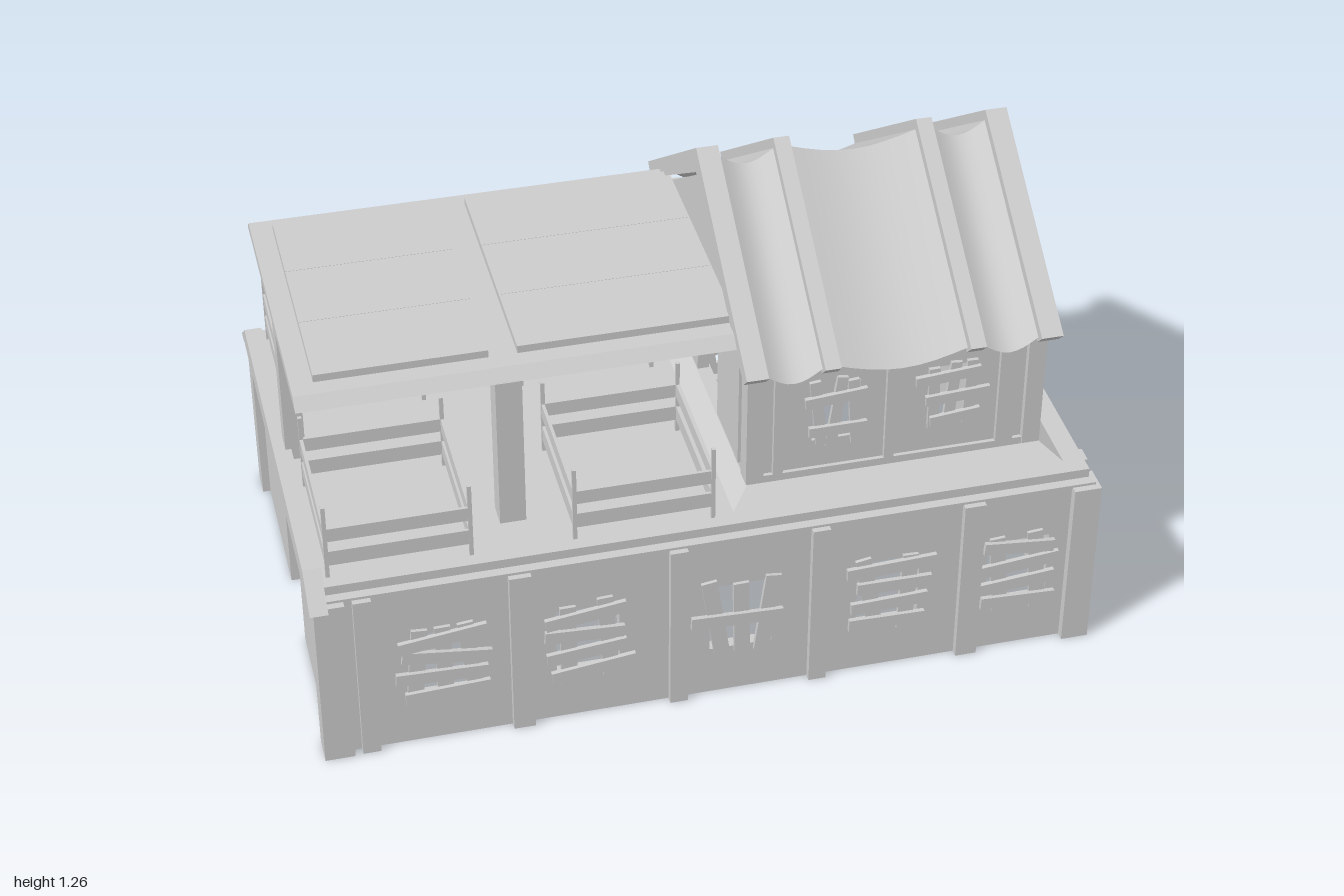
import * as THREE from 'three';
import { toCreasedNormals } from 'three/addons/utils/BufferGeometryUtils.js';

const mat = new THREE.MeshStandardMaterial({ color: 0xcccccc, flatShading: true });
const smooth = new THREE.MeshStandardMaterial({ color: 0xcccccc });
const thin = new THREE.MeshStandardMaterial({ color: 0xcccccc, flatShading: true, side: THREE.DoubleSide });

function add(parent, name, geo, material = mat) {
  const m = new THREE.Mesh(geo, material);
  m.name = name;
  parent.add(m);
  return m;
}

// Box given by its limits on each axis
function box(parent, name, x0, x1, y0, y1, z0, z1) {
  const m = add(parent, name, new THREE.BoxGeometry(x1 - x0, y1 - y0, z1 - z0));
  m.position.set((x0 + x1) / 2, (y0 + y1) / 2, (z0 + z1) / 2);
  return m;
}

function group(parent, name) {
  const g = new THREE.Group();
  g.name = name;
  parent.add(g);
  return g;
}

const poly = (pts) => new THREE.Shape(pts.map(([x, y]) => new THREE.Vector2(x, y)));
const rect = (x0, x1, y0, y1) => poly([[x0, y0], [x1, y0], [x1, y1], [x0, y1]]);
const extrude = (shape, depth, steps = 1) =>
  new THREE.ExtrudeGeometry(shape, { depth, steps, bevelEnabled: false });

// Outline drawn as (z, y), extruded along x from x0
function alongX(shape, x0, depth, steps) {
  return extrude(shape, depth, steps).rotateY(Math.PI / 2).scale(1, 1, -1 * -1).translate(x0, 0, 0);
}

let seed = 7;
function rnd(a, b) {
  seed = (seed * 16807) % 2147483647;
  return a + (b - a) * (seed / 2147483647);
}

// Crooked boards nailed over an opening; h across and v upright
function boards(parent, cx, cy, z, w, ht, h, v) {
  const g = group(parent, 'windowBoards');
  const put = (len, wide, x, y, angle, dz) => {
    const b = add(g, 'board', new THREE.BoxGeometry(len, wide, 0.012));
    b.position.set(x, y, z + dz);
    b.rotation.z = angle;
  };
  for (let i = 0; i < v; i++) {
    const x = cx + ((i + 0.5) / v - 0.5) * w;
    put(ht * rnd(0.95, 1.1), w * 0.2, x, cy + rnd(-0.01, 0.01), Math.PI / 2 + rnd(-0.2, 0.2), 0);
  }
  for (let i = 0; i < h; i++) {
    const y = cy + ((i + 0.5) / h - 0.5) * ht;
    put(w * rnd(0.9, 1.2), ht * 0.15, cx + rnd(-0.015, 0.015), y, rnd(-0.15, 0.15), 0.01);
  }
}

// Long side of the lower storey, facing +z
function longSide(parent, name) {
  const g = group(parent, name);
  const wall = rect(-0.97, 0.97, 0, 0.485);
  const centres = [-0.68, -0.32, 0.07, 0.45, 0.79];
  const mix = [[4, 3], [4, 2], [1, 3], [4, 2], [4, 2]];
  centres.forEach((c) => wall.holes.push(rect(c - 0.08, c + 0.08, 0.14, 0.34)));
  add(g, 'lowerWall', extrude(wall, 0.03)).position.z = 0.53;
  centres.forEach((c, i) => boards(g, c, 0.24, 0.563, 0.2, 0.23, ...mix[i]));
  [[-0.895, -0.85], [-0.515, -0.46], [-0.115, -0.07], [0.245, 0.29], [0.635, 0.69]].forEach(([a, b]) =>
    box(g, 'wallPost', a, b, 0, 0.483, 0.55, 0.58));
  box(g, 'cornerPost', -0.99, -0.915, 0, 0.483, 0.51, 0.583);
  box(g, 'cornerPost', 0.92, 0.99, 0, 0.483, 0.51, 0.583);
}

function lowerStorey(root) {
  const g = group(root, 'lowerStorey');
  longSide(g, 'frontSide');
  longSide(g, 'backSide');
  g.children[1].rotation.y = Math.PI;
  // End walls, one with a doorway
  box(g, 'endWall', 0.94, 0.97, 0, 0.485, -0.54, 0.54);
  const door = poly([[-0.54, 0], [-0.12, 0], [-0.12, 0.36], [0.12, 0.36], [0.12, 0], [0.54, 0], [0.54, 0.485], [-0.54, 0.485]]);
  add(g, 'doorwayWall', alongX(door, -0.97, 0.03));
  for (const s of [-1, 1]) {
    const p = box(g, 'endPost', 0.96, 0.995, 0, 0.483, 0.42, 0.465);
    p.position.z *= s;
  }
  box(g, 'endRail', 0.96, 0.98, 0.07, 0.12, -0.51, 0.51);
  // Deck, open beneath the upper house
  const deck = rect(-0.97, 0.97, -0.54, 0.54);
  deck.holes.push(rect(0.16, 0.83, -0.405, 0.405));
  add(g, 'deck', extrude(deck, 0.035).rotateX(Math.PI / 2)).position.y = 0.515;
  const ledge = rect(-0.98, 0.98, -0.565, 0.565);
  ledge.holes.push(rect(-0.94, 0.94, -0.53, 0.53));
  add(g, 'deckLedge', extrude(ledge, 0.01).rotateX(Math.PI / 2)).position.y = 0.49;
  // Capping beam with sloping ends
  const cap = poly([[-0.595, 0.475], [-0.56, 0.475], [-0.54, 0.485], [0.54, 0.485], [0.56, 0.475], [0.595, 0.475], [0.505, 0.548], [-0.505, 0.548]]);
  add(g, 'endCap', alongX(cap, -1, 0.045));
}

// Long side of the upper house, facing +z, centred on x = 0
function houseSide(parent, name) {
  const g = group(parent, name);
  const wall = rect(-0.37, 0.37, 0.515, 0.9);
  const centres = [-0.15, 0.145];
  centres.forEach((c) => wall.holes.push(rect(c - 0.06, c + 0.06, 0.64, 0.81)));
  add(g, 'upperWall', extrude(wall, 0.03)).position.z = 0.39;
  centres.forEach((c, i) => boards(g, c, 0.725, 0.424, 0.14, 0.19, 2 + i, 3));
  for (const [a, b] of [[-0.38, -0.335], [0.335, 0.38]]) box(g, 'houseCorner', a, b, 0.515, 0.89, 0.385, 0.437);
  for (const [a, b] of [[-0.31, -0.285], [-0.025, 0], [0.265, 0.31]]) box(g, 'houseStud', a, b, 0.56, 0.89, 0.41, 0.433);
  box(g, 'houseSill', -0.34, 0.34, 0.54, 0.56, 0.41, 0.43);
}

// Chevron roof outline, as (z, y)
const chevron = (top, bottom, half) => poly([
  [-half, top - 0.7 * half], [0, top], [half, top - 0.7 * half],
  [half - 0.03, bottom - 0.66 * (half - 0.03)], [0, bottom], [-half + 0.03, bottom - 0.66 * (half - 0.03)],
]);

function upperHouse(root) {
  const g = group(root, 'upperHouse');
  g.position.x = 0.49;
  houseSide(g, 'houseFront');
  houseSide(g, 'houseBack');
  g.children[1].rotation.y = Math.PI;
  // Gable walls, one with a door onto the deck
  const outline = [[0.42, 0.515], [0.42, 0.895], [0, 1.185], [-0.42, 0.895], [-0.42, 0.515]];
  add(g, 'gableWall', alongX(poly(outline), 0.335, 0.03));
  const door = [[-0.1, 0.515], [-0.1, 0.8], [0.1, 0.8], [0.1, 0.515]];
  add(g, 'gableDoorWall', alongX(poly([...outline, ...door]), -0.365, 0.03));
  // Timber on both gable ends
  for (const s of [-1, 1]) {
    for (const t of [-1, 1]) {
      const stud = box(g, 'gableStud', 0.36, 0.378, 0.55, 0.89, 0.315, 0.35);
      stud.position.x *= s;
      stud.position.z *= t;
    }
    box(g, 'gableTie', 0.36, 0.378, 0.86, 0.893, -0.43, 0.43).position.x *= s;
  }
  box(g, 'gableRail', 0.36, 0.375, 0.595, 0.63, -0.39, 0.39);
  // Sloping skirt round the foot
  const skirt = new THREE.CylinderGeometry(0.88 * Math.SQRT2, Math.SQRT2, 0.035, 4, 1, true)
    .rotateY(Math.PI / 4).scale(0.43, 1, 0.5);
  add(g, 'houseSkirt', skirt, thin).position.y = 0.53;
  // Rafters, with sagging roof panels between them
  const rafters = [[-0.4, -0.345], [-0.205, -0.165], [0.16, 0.2], [0.34, 0.395]];
  rafters.forEach(([a, b]) => add(g, 'rafter', alongX(chevron(1.26, 1.19, 0.5), a, b - a)));
  for (let i = 0; i < 3; i++) {
    const a = rafters[i][1], w = rafters[i + 1][0] - a;
    const geo = alongX(chevron(1.23, 1.195, 0.475), a, w, 8);
    const p = geo.attributes.position;
    for (let k = 0; k < p.count; k++) {
      p.setY(k, p.getY(k) - 0.033 * Math.sin(Math.PI * Math.min(1, Math.max(0, (p.getX(k) - a) / w))));
    }
    add(g, 'roofPanel', toCreasedNormals(geo, 0.5), smooth);
  }
}

function canopy(root) {
  const g = group(root, 'canopy');
  const slab = poly([[-0.405, 0.938], [0.405, 0.938], [0.375, 0.965], [-0.375, 0.965]]);
  add(g, 'canopySlab', alongX(slab, -0.975, 1.085));
  for (const [a, b] of [[-0.92, -0.5], [-0.43, 0.1]]) {
    for (let i = 0; i < 3; i++) box(g, 'canopyBoard', a, b, 0.96, 0.985, -0.33 + i * 0.22, -0.111 + i * 0.22);
  }
  box(g, 'canopyPost', -0.97, -0.92, 0.51, 0.94, -0.03, 0.03);
  for (const z of [-0.37, 0.37]) box(g, 'canopyPost', -0.5, -0.435, 0.51, 0.94, z - 0.033, z + 0.033);
}

// Square railing pens along both edges of the deck
function railings(root) {
  for (const s of [-1, 1]) {
    for (const [x0, x1] of [[-0.94, -0.59], [-0.335, 0.01]]) {
      const g = group(root, 'railing');
      const [z0, z1] = s > 0 ? [0.14, 0.5] : [-0.5, -0.14];
      for (const x of [x0, x1]) {
        for (const z of [z0, z1]) box(g, 'railingPost', x - 0.005, x + 0.005, 0.51, 0.725, z - 0.005, z + 0.005);
      }
      for (const [y0, y1] of [[0.55, 0.592], [0.622, 0.66]]) {
        for (const z of [z0, z1]) box(g, 'rail', x0, x1, y0, y1, z - 0.004, z + 0.004);
        for (const x of [x0, x1]) box(g, 'rail', x - 0.004, x + 0.004, y0, y1, z0, z1);
      }
    }
  }
}

export function createModel() {
  const root = new THREE.Group();
  root.name = 'boardedHouse';
  lowerStorey(root);
  upperHouse(root);
  canopy(root);
  railings(root);
  return root;
}
